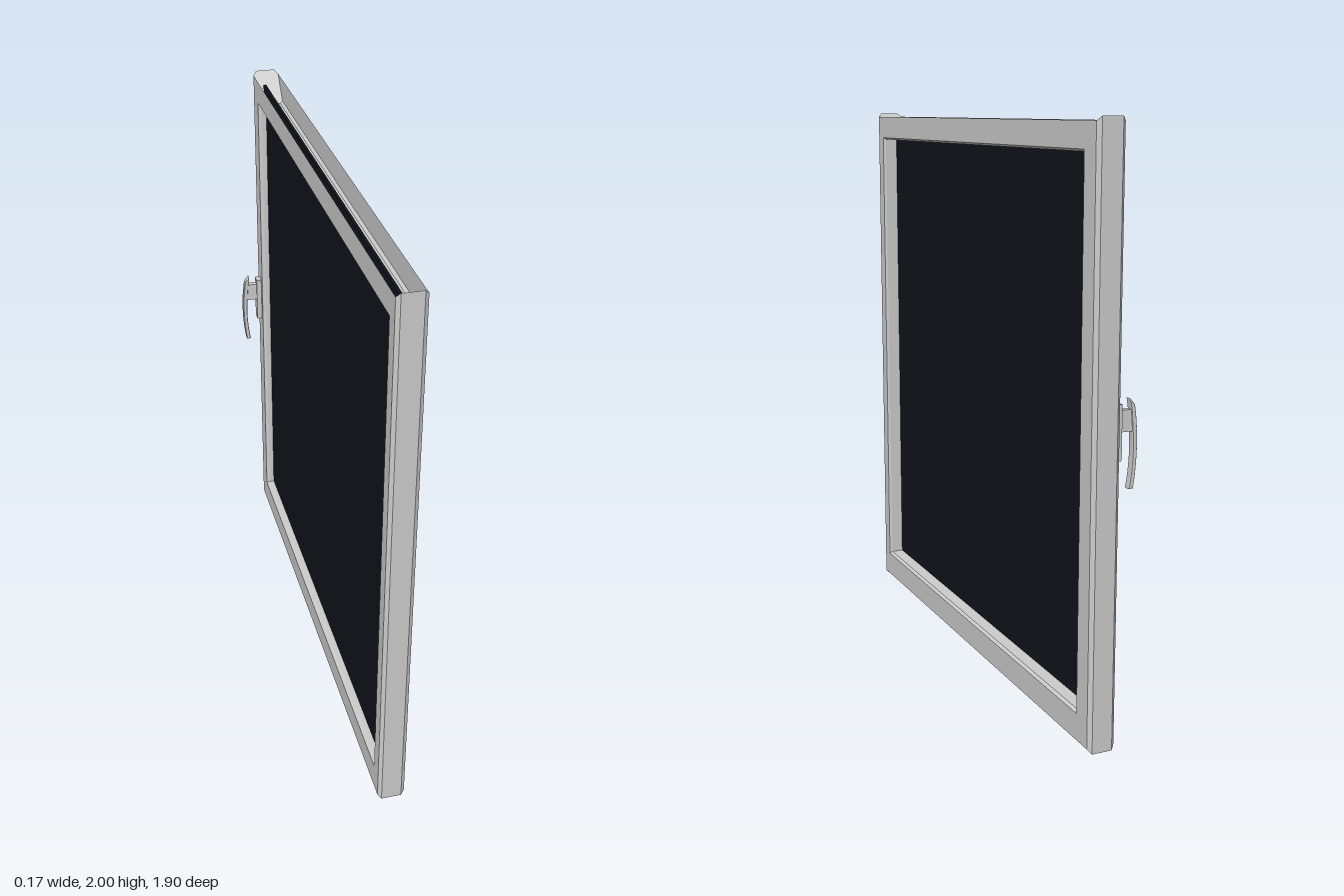
import * as THREE from 'three';

const grey = new THREE.MeshStandardMaterial({ color: 0xcccccc, flatShading: true, side: THREE.DoubleSide });
const dark = new THREE.MeshStandardMaterial({ color: 0x10131b, side: THREE.DoubleSide });

// Outer corners (z, y) of the frame and the matching corners of the opening
const outer = [[0.952, 0], [-0.952, 0], [-0.952, 2], [0.952, 2]];
const inner = [[0.89, 0.115], [-0.86, 0.115], [-0.86, 1.895], [0.89, 1.895]];

// Chamfered section: x, and t running from the outer edge (0) to the opening (1)
const section = [
  [0.073, 0], [0.086, 0.13], [0.086, 0.93], [0.076, 1],
  [0.002, 1], [-0.011, 0.93], [-0.011, 0.13], [0.002, 0],
];

// One mitred frame member between corners a and b; rails are open channels, posts are closed and capped
function member(name, a, b, closed) {
  const at = (k, [x, t]) => [
    x,
    THREE.MathUtils.lerp(outer[k][1], inner[k][1], t),
    THREE.MathUtils.lerp(outer[k][0], inner[k][0], t),
  ];
  const pos = [];
  const n = section.length;
  const first = closed ? 0 : 1;
  const last = closed ? n : n - 2;
  for (let i = first; i < last; i++) {
    const p = section[i], q = section[(i + 1) % n];
    const A = at(a, p), B = at(b, p), C = at(b, q), D = at(a, q);
    pos.push(...A, ...C, ...B, ...A, ...D, ...C);
  }
  if (closed) {
    for (let i = 1; i < n - 1; i++) {
      pos.push(...at(a, section[0]), ...at(a, section[i + 1]), ...at(a, section[i]));
      pos.push(...at(b, section[0]), ...at(b, section[i]), ...at(b, section[i + 1]));
    }
  }
  const geo = new THREE.BufferGeometry();
  geo.setAttribute('position', new THREE.Float32BufferAttribute(pos, 3));
  geo.computeVertexNormals();
  const mesh = new THREE.Mesh(geo, grey);
  mesh.name = name;
  return mesh;
}

// Box given by its low and high corners
function box(name, lo, hi, material) {
  const s = hi.map((v, i) => v - lo[i]);
  const mesh = new THREE.Mesh(new THREE.BoxGeometry(...s), material);
  mesh.position.set(...lo.map((v, i) => v + s[i] / 2));
  mesh.name = name;
  return mesh;
}

function createHandle() {
  const handle = new THREE.Group();
  handle.name = 'handle';
  const z = -0.905;
  handle.add(box('handlePlate', [-0.03, 0.95, z - 0.018], [-0.01, 1.13, z + 0.018], grey));
  handle.add(box('handleNeck', [-0.074, 1.04, z - 0.011], [-0.028, 1.11, z + 0.011], grey));

  // Curved lever with a short hooked tip at the top
  const shape = new THREE.Shape();
  shape.moveTo(-0.077, 0.855);
  shape.quadraticCurveTo(-0.099, 1.0, -0.078, 1.125);
  shape.lineTo(-0.06, 1.145);
  shape.lineTo(-0.065, 1.105);
  shape.lineTo(-0.07, 1.04);
  shape.quadraticCurveTo(-0.077, 0.95, -0.06, 0.855);
  const geo = new THREE.ExtrudeGeometry(shape, { depth: 0.02, bevelEnabled: true, bevelSize: 0.002, bevelThickness: 0.003, bevelOffset: -0.002, bevelSegments: 1, curveSegments: 10 });
  const lever = new THREE.Mesh(geo, grey);
  lever.position.z = z - 0.01;
  lever.name = 'handleLever';
  handle.add(lever);
  return handle;
}

export function createModel() {
  const model = new THREE.Group();
  model.name = 'window';

  const frame = new THREE.Group();
  frame.name = 'frame';
  frame.add(
    member('bottomRail', 0, 1, false),
    member('backPost', 1, 2, true),
    member('topRail', 2, 3, false),
    member('frontPost', 3, 0, true),
  );

  // Pane reaches into the open channels of the rails
  const pane = box('glassPane', [0.02, 0.04, -0.9], [0.03, 1.96, 0.91], dark);
  model.add(frame, pane, createHandle());
  return model;
}
